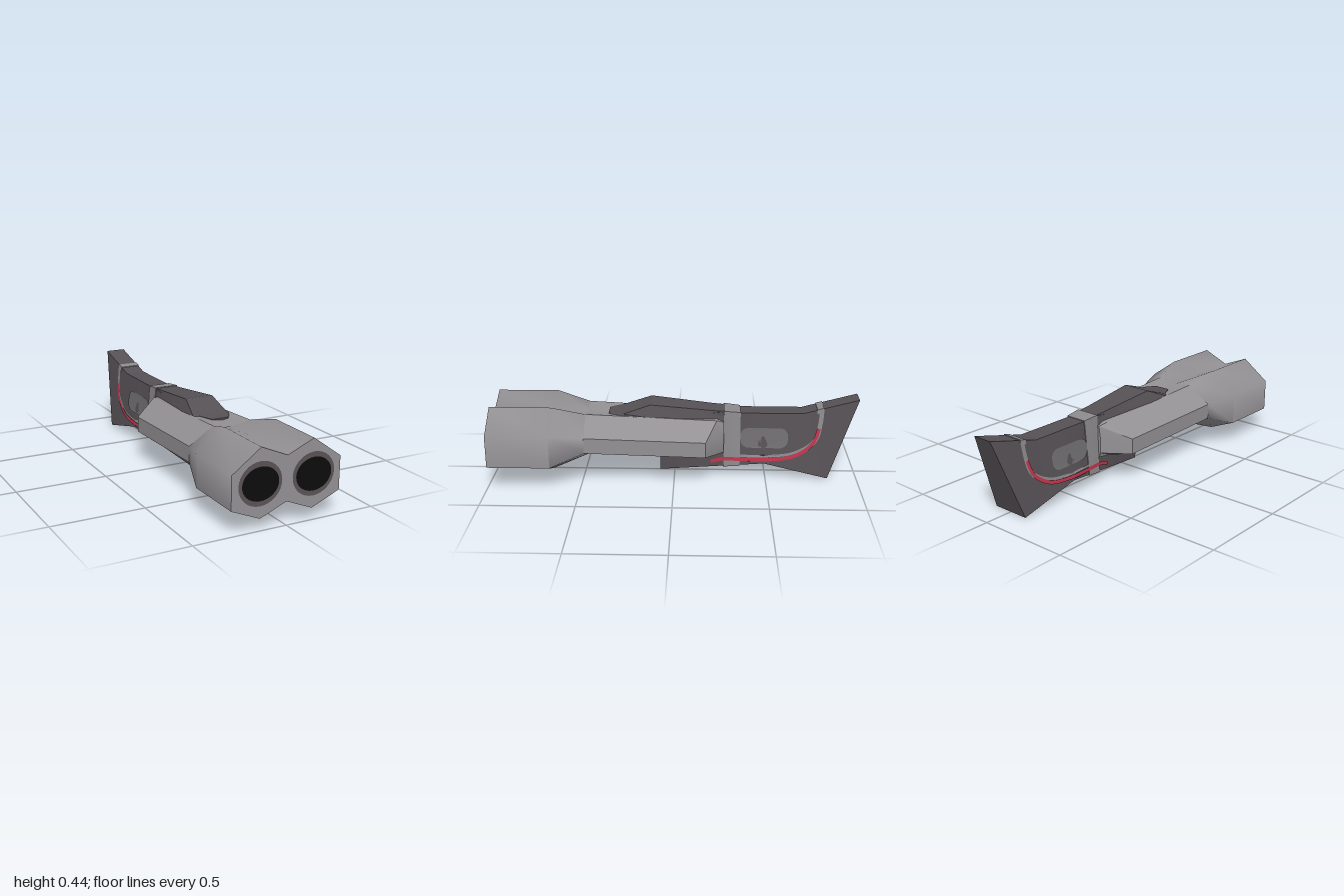
import * as THREE from 'three';
import { toCreasedNormals } from 'three/addons/utils/BufferGeometryUtils.js';

const mat = (name, color, side = THREE.FrontSide) => {
  const m = new THREE.MeshStandardMaterial({ color, side });
  m.name = name;
  return m;
};

// Stock stations: z, top y, top half width, bottom y, bottom half width
const STOCK = [
  [0.08, 0.33, 0.07, 0.015, 0.035],
  [-0.27, 0.37, 0.065, 0.058, 0.078],
  [-0.37, 0.36, 0.056, 0.07, 0.091],
  [-0.49, 0.36, 0.055, 0.085, 0.105],
  [-0.7, 0.36, 0.055, 0.034, 0.105],
  [-0.84, 0.397, 0.055, 0, 0.105],
];

function station(z) {
  let i = 0;
  while (i < STOCK.length - 2 && z < STOCK[i + 1][0]) i++;
  const a = STOCK[i], b = STOCK[i + 1];
  const t = (z - a[0]) / (b[0] - a[0]);
  return a.map((v, k) => v + (b[k] - v) * t);
}

// Half width of the stock side at a given depth and height
function sideX(z, y) {
  const [, ty, tw, by, bw] = station(z);
  return tw + (bw - tw) * (ty - y) / (ty - by);
}

function stockHalf(z, grow = 0) {
  const [, ty, tw, by, bw] = station(z);
  return [[bw + grow, by - grow, z], [tw + grow, ty + grow, z]];
}

// Skin between half sections (bottom to top, x >= 0) running front to back
function loft(halves, crease = 0.1) {
  const rings = halves.map(h => [
    ...h,
    ...h.filter(p => p[0] > 0).reverse().map(([x, y, z]) => [-x, y, z]),
  ]);
  const n = rings[0].length, pos = [];
  const tri = (...p) => p.forEach(q => pos.push(...q));
  const centre = r => [0, 1, 2].map(k => r.reduce((s, p) => s + p[k], 0) / n);
  for (let j = 0; j < n; j++) {
    const k = (j + 1) % n;
    for (let i = 0; i < rings.length - 1; i++) {
      const A = rings[i], B = rings[i + 1];
      tri(A[j], B[j], A[k]);
      tri(A[k], B[j], B[k]);
    }
    const first = rings[0], last = rings[rings.length - 1];
    tri(centre(first), first[j], first[k]);
    tri(centre(last), last[k], last[j]);
  }
  const g = new THREE.BufferGeometry();
  g.setAttribute('position', new THREE.Float32BufferAttribute(pos, 3));
  g.computeVertexNormals();
  return toCreasedNormals(g, crease);
}

// Outline of a ribbon along a smooth (z, y) path
function ribbon(points, width) {
  const curve = new THREE.SplineCurve(points.map(p => new THREE.Vector2(...p)));
  const left = [], right = [];
  for (let i = 0; i <= 30; i++) {
    const p = curve.getPoint(i / 30), t = curve.getTangent(i / 30);
    const n = new THREE.Vector2(-t.y, t.x).multiplyScalar(width / 2);
    left.push(p.clone().add(n));
    right.unshift(p.clone().sub(n));
  }
  return new THREE.Shape([...left, ...right]);
}

// Rounded rectangle in (z, y)
function roundedPanel(z0, z1, y0, y1, r) {
  const s = new THREE.Shape();
  s.absarc(z1 - r, y0 + r, r, -Math.PI / 2, 0);
  s.absarc(z1 - r, y1 - r, r, 0, Math.PI / 2);
  s.absarc(z0 + r, y1 - r, r, Math.PI / 2, Math.PI);
  s.absarc(z0 + r, y0 + r, r, Math.PI, Math.PI * 1.5);
  return s;
}

export function createModel() {
  const model = new THREE.Group();
  model.name = 'doubleBarrelBlaster';
  const metal = mat('gunmetal', 0x949195);
  const dark = mat('darkGrip', 0x565155);
  const ring = mat('muzzleRing', 0x5a5356, THREE.DoubleSide);
  const bore = mat('boreBlack', 0x0c0c0c, THREE.DoubleSide);
  const panel = mat('panelGrey', 0x706e70, THREE.DoubleSide);
  const trim = mat('trimGrey', 0x8c8a8c, THREE.DoubleSide);
  const red = mat('redStripe', 0xc0354d, THREE.DoubleSide);

  const add = (name, geometry, material) => {
    const m = new THREE.Mesh(geometry, material);
    m.name = name;
    model.add(m);
    return m;
  };

  // Twin barrels tapering into the receiver
  const muzzle = z => [[0, 0.12, z], [0.145, 0.06, z], [0.3, 0.125, z],
    [0.3, 0.3, z], [0.145, 0.412, z], [0, 0.35, z]];
  const neck = [[0, 0.13, 0.48], [0.11, 0.13, 0.48], [0.245, 0.19, 0.48],
    [0.245, 0.275, 0.48], [0.11, 0.363, 0.48], [0, 0.345, 0.48]];
  add('barrels', loft([muzzle(0.996), muzzle(0.66), neck], 1.1), metal);

  // Faceted receiver with a chamfered back
  add('receiver', loft([
    neck,
    [[0, 0.138, -0.17], [0.1, 0.138, -0.2], [0.228, 0.165, -0.17],
      [0.228, 0.25, -0.17], [0.1, 0.33, -0.23], [0, 0.335, -0.23]],
    [[0, 0.138, -0.27], [0.08, 0.138, -0.27], [0.09, 0.165, -0.27],
      [0.09, 0.25, -0.27], [0.08, 0.315, -0.27], [0, 0.32, -0.27]],
  ], 0.35), metal);

  // Bores and their surrounds
  for (const s of [-1, 1]) {
    const disc = (name, rx, ry, z, material) => {
      const m = add(name, new THREE.CircleGeometry(1, 32), material);
      m.scale.set(rx, ry, 1);
      m.position.set(s * 0.147, 0.234, z);
    };
    disc('muzzleRing', 0.118, 0.111, 0.998, ring);
    disc('bore', 0.1, 0.085, 1, bore);
  }

  // Raised hump on top of the receiver
  const hump = (z, y, top, base, baseY) => [[base, baseY, z], [top, y, z]];
  add('topHump', loft([
    hump(0.36, 0.354, 0.045, 0.06, 0.33),
    hump(0.28, 0.358, 0.085, 0.11, 0.345),
    hump(0.13, 0.41, 0.08, 0.107, 0.345),
    hump(-0.2, 0.376, 0.062, 0.08, 0.31),
    hump(-0.27, 0.37, 0.06, 0.075, 0.3),
  ], 0.35), dark);

  // Stock, finely stepped so the twisted sides stay even
  const halves = [];
  for (let i = 0; i < STOCK.length - 1; i++) {
    for (let k = 0; k < 6; k++) {
      const z = STOCK[i][0] + (STOCK[i + 1][0] - STOCK[i][0]) * k / 6;
      if (z > -0.71) halves.push(stockHalf(z));
    }
  }
  halves.push([[0.105, 0, -0.84], [0.055, 0.44, -1]]);
  add('stock', loft(halves, 0.35), dark);

  // Band wrapped around the front of the stock
  add('stockBand', loft([-0.27, -0.3, -0.33, -0.36].map(z => stockHalf(z, 0.004)), 0.35), trim);

  // Rear band across the top edge
  const cap = z => {
    const [, y, w] = station(z);
    return [[w + 0.006, y - 0.02, z], [w + 0.003, y + 0.004, z]];
  };
  add('rearTopBand', loft([cap(-0.775), cap(-0.81)]), trim);

  // Painted details following both sides of the stock
  const details = [
    ['gripPanel', roundedPanel(-0.62, -0.36, 0.17, 0.28, 0.045), panel, 0.005],
    ['rearSideBand', ribbon([[-0.8, 0.384], [-0.795, 0.32], [-0.78, 0.24], [-0.75, 0.19]], 0.024), trim, 0.004],
    ['thinTrim', ribbon([[-0.36, 0.122], [-0.5, 0.126], [-0.62, 0.136], [-0.7, 0.165], [-0.75, 0.2]], 0.014), trim, 0.005],
    ['redStripe', ribbon([[-0.2, 0.08], [-0.26, 0.1], [-0.36, 0.103], [-0.5, 0.108], [-0.62, 0.118],
      [-0.7, 0.15], [-0.76, 0.205], [-0.787, 0.28]], 0.02), red, 0.007],
  ];
  for (const [name, shape, material, lift] of details) {
    for (const s of [-1, 1]) {
      const g = new THREE.ShapeGeometry(shape, 8);
      const p = g.attributes.position;
      for (let i = 0; i < p.count; i++) {
        const z = p.getX(i), y = p.getY(i);
        p.setXYZ(i, s * (sideX(z, y) + lift), y, z);
      }
      // Keep the faces pointing outwards on both sides
      if (s > 0) g.index.array.reverse();
      g.computeVertexNormals();
      add(name, g, material);
    }
  }
  return model;
}
